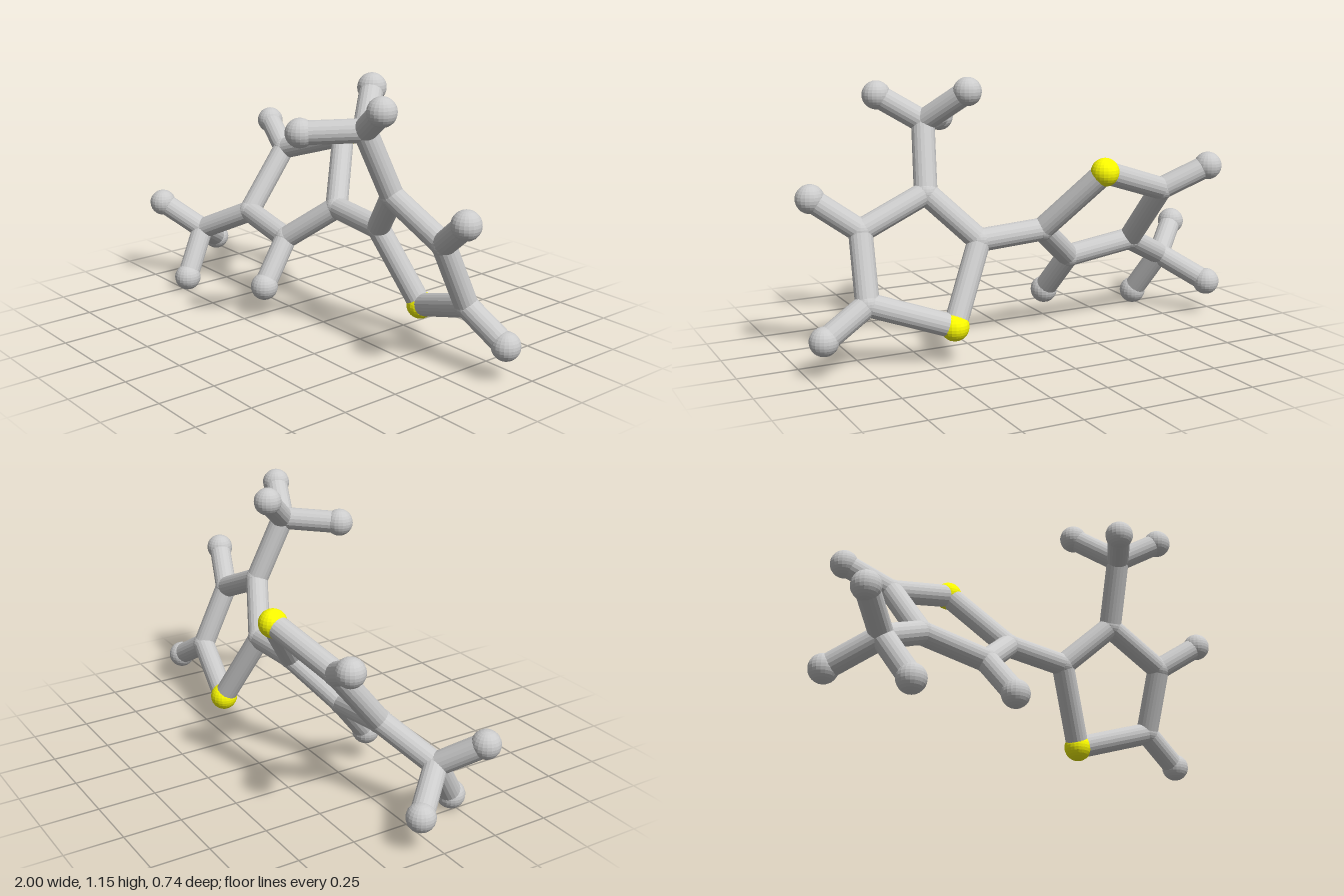
import * as THREE from 'three';

const ATOM_R = 0.06, BOND_R = 0.049, JOINT_R = 0.052;

// Atom centres; the first letter gives the element
const atoms = {
  // ring on the model's right (-x)
  S1: [-0.24, 0.76, -0.31],
  C2: [-0.05, 0.50, -0.115],
  C3: [-0.25, 0.335, 0.015],
  C4: [-0.555, 0.385, -0.005],
  C5: [-0.575, 0.65, -0.225],
  H3: [-0.21, 0.15, 0.166],
  H5: [-0.77, 0.745, -0.29],
  // its methyl group
  C6: [-0.79, 0.265, 0.105],
  H6a: [-0.937, 0.385, 0.23],
  H6b: [-0.937, 0.155, -0.07],
  H6c: [-0.73, 0.065, 0.235],
  // ring on the model's left (+x)
  S11: [0.40, 0.157, -0.207],
  C12: [0.24, 0.48, -0.105],
  C13: [0.435, 0.68, -0.005],
  C14: [0.725, 0.55, -0.012],
  C15: [0.745, 0.275, -0.13],
  H14: [0.91, 0.686, 0.055],
  H15: [0.938, 0.157, -0.158],
  // its methyl group
  C16: [0.395, 0.96, 0.11],
  H16a: [0.26, 1.093, -0.043],
  H16b: [0.235, 0.95, 0.308],
  H16c: [0.573, 1.073, 0.18],
};

const bonds = [
  'S1 C2', 'C2 C3', 'C3 C4', 'C4 C5', 'C5 S1', 'C3 H3', 'C5 H5',
  'C4 C6', 'C6 H6a', 'C6 H6b', 'C6 H6c',
  'C2 C12',
  'S11 C12', 'C12 C13', 'C13 C14', 'C14 C15', 'C15 S11', 'C14 H14', 'C15 H15',
  'C13 C16', 'C16 H16a', 'C16 H16b', 'C16 H16c',
];

export function createModel() {
  const model = new THREE.Group();
  model.name = 'molecule';
  const grey = new THREE.MeshStandardMaterial({ color: 0xcccccc, flatShading: true });
  const yellow = new THREE.MeshStandardMaterial({ color: 0xffff00, flatShading: true });

  const ball = new THREE.SphereGeometry(ATOM_R, 20, 14);
  const joint = new THREE.SphereGeometry(JOINT_R, 20, 14);
  const kinds = {
    S: { name: 'sulfurAtom', geometry: ball, material: yellow },
    H: { name: 'hydrogenAtom', geometry: ball, material: grey },
    C: { name: 'carbonAtom', geometry: joint, material: grey },
  };

  // Atoms
  for (const [id, position] of Object.entries(atoms)) {
    const { name, geometry, material } = kinds[id[0]];
    const atom = new THREE.Mesh(geometry, material);
    atom.name = name;
    atom.position.set(...position);
    model.add(atom);
  }

  // Bonds: rods between atom centres
  const up = new THREE.Vector3(0, 1, 0);
  for (const pair of bonds) {
    const [a, b] = pair.split(' ').map((id) => new THREE.Vector3(...atoms[id]));
    const rod = new THREE.Mesh(new THREE.CylinderGeometry(BOND_R, BOND_R, a.distanceTo(b), 20), grey);
    rod.name = 'bond';
    rod.position.lerpVectors(a, b, 0.5);
    rod.quaternion.setFromUnitVectors(up, b.clone().sub(a).normalize());
    model.add(rod);
  }
  return model;
}
